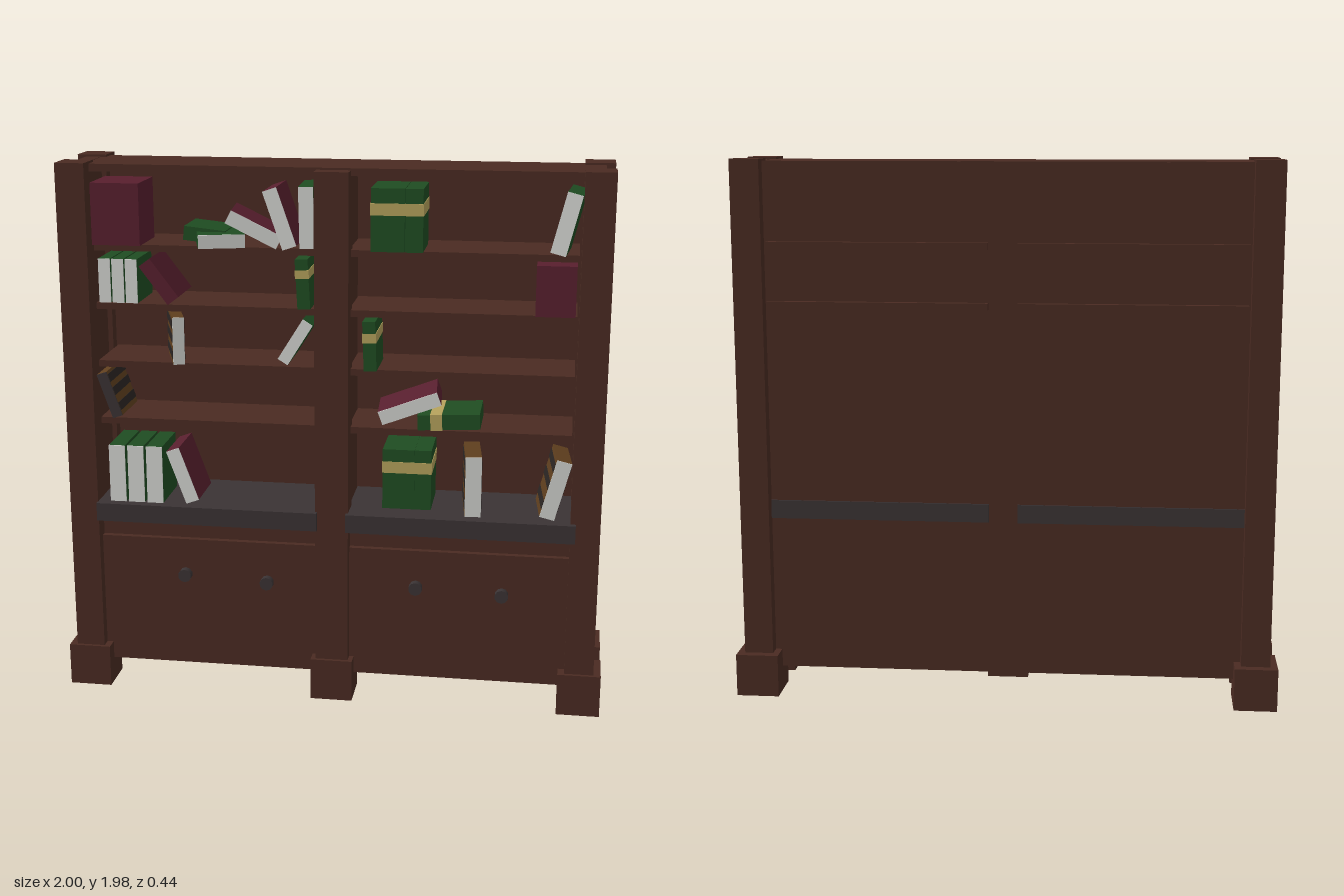
import * as THREE from 'three';

const mat = (name, color) => {
  const m = new THREE.MeshStandardMaterial({ color });
  m.name = name;
  return m;
};
const wood = mat('dark wood', 0x4a2b22);
const slate = mat('slate', 0x3a3334);
const paper = mat('paper', 0xd6d7d3);
const green = mat('green cover', 0x1f4d22);
const red = mat('red cover', 0x581f2e);
const brown = mat('brown cover', 0x5f3f1e);
const gold = mat('gold band', 0xb5a25c);
const black = mat('dark band', 0x2b2523);

// Box given by its minimum and maximum corners
function block(parent, name, material, [x0, y0, z0], [x1, y1, z1]) {
  const mesh = new THREE.Mesh(new THREE.BoxGeometry(x1 - x0, y1 - y0, z1 - z0), material);
  mesh.position.set((x0 + x1) / 2, (y0 + y1) / 2, (z0 + z1) / 2);
  mesh.name = name;
  parent.add(mesh);
  return mesh;
}

// Book placed by the centre of its front face; tilt and yaw in degrees
function book(parent, cover, x, y, w, h, o = {}) {
  const { tilt = 0, yaw = 0, z = 0.175, d = 0.2, front = null, bands = [], bandMat = gold, bandH = 0.042 } = o;
  const g = new THREE.Group();
  g.name = 'book';
  block(g, 'cover', cover, [-w / 2, -h / 2, -d], [w / 2, h / 2, 0]);
  if (front) block(g, 'frontEdge', front, [-w / 2, -h / 2, 0], [w / 2, h / 2, 0.004]);
  for (const b of bands) {
    const e = 0.002;
    block(g, 'band', bandMat, [-w / 2 - e, b * h - bandH / 2, -d - e], [w / 2 + e, b * h + bandH / 2, front ? -0.001 : e]);
  }
  g.rotation.set(0, THREE.MathUtils.degToRad(yaw), THREE.MathUtils.degToRad(tilt), 'YXZ');
  g.position.set(x, y, z);
  parent.add(g);
}

export function createModel() {
  const model = new THREE.Group();
  model.name = 'bookcase';

  // Corner posts and feet
  for (const s of [-1, 1]) {
    const span = (a, b) => (s < 0 ? [-b, -a] : [a, b]);
    const [p0, p1] = span(0.867, 0.973);
    const [f0, f1] = span(0.843, 1);
    block(model, 'frontPost', wood, [p0, 0.1, 0.085], [p1, 1.98, 0.2]);
    block(model, 'backPost', wood, [p0, 0.1, -0.19], [p1, 1.98, -0.075]);
    block(model, 'frontFoot', wood, [f0, 0, 0.062], [f1, 0.158, 0.213]);
    block(model, 'backFoot', wood, [f0, 0, -0.222], [f1, 0.158, -0.055]);
    const [w0, w1] = span(0.885, 0.94);
    block(model, 'sidePanel', wood, [w0, 0.092, -0.14], [w1, 1.973, 0.14]);
  }
  block(model, 'centrePost', wood, [-0.053, 0.1, 0.1], [0.068, 1.965, 0.2]);
  block(model, 'centreFoot', wood, [-0.07, 0, 0.062], [0.085, 0.158, 0.213]);

  // Carcass
  block(model, 'backPanel', wood, [-0.93, 0.092, -0.14], [0.93, 1.97, -0.12]);
  block(model, 'topPanel', wood, [-0.93, 1.945, -0.139], [0.93, 1.972, 0.139]);
  block(model, 'divider', wood, [-0.043, 0.6, -0.13], [0.058, 1.95, 0.12]);
  block(model, 'cabinet', wood, [-0.93, 0.092, -0.139], [0.93, 0.69, 0.138]);

  // Shelves, ledge, cabinet front and knobs for each bay
  const knobs = [[[-0.55, 0.453], [-0.24, 0.438]], [[0.315, 0.45], [0.63, 0.438]]];
  [[-0.868, -0.045], [0.06, 0.886]].forEach(([x0, x1], i) => {
    [[1.688, -0.165], [1.474, -0.165], [1.26, -0.13], [1.045, -0.13]].forEach(([y, back]) =>
      block(model, 'shelf', wood, [Math.max(x0, -0.86), y - 0.024, back], [Math.min(x1, 0.86), y, 0.137]));
    block(model, 'ledge', slate, [x0, 0.668, -0.147], [x1, 0.736, 0.22]);
    block(model, 'cabinetFront', wood, [x0, 0.093, 0.13], [x1, 0.59, 0.16]);
    for (const [kx, ky] of knobs[i]) {
      const knob = new THREE.Mesh(new THREE.CylinderGeometry(0.025, 0.025, 0.03, 10), slate);
      knob.rotation.x = Math.PI / 2;
      knob.position.set(kx, ky, 0.172);
      knob.name = 'knob';
      model.add(knob);
    }
  });

  const books = new THREE.Group();
  books.name = 'books';
  model.add(books);
  const pages = { front: paper };
  const stripes = { front: paper, bands: [-0.3, 0.05, 0.35], bandMat: black, bandH: 0.03 };

  // Top shelf
  book(books, red, -0.768, 1.8, 0.175, 0.22);
  book(books, green, -0.385, 1.713, 0.048, 0.165, { ...pages, tilt: 90, yaw: 16 });
  book(books, green, -0.46, 1.724, 0.05, 0.15, { tilt: 84, z: 0.12, d: 0.18 });
  book(books, red, -0.27, 1.757, 0.05, 0.2, { ...pages, tilt: 63, yaw: 6 });
  book(books, red, -0.178, 1.797, 0.052, 0.215, { ...pages, tilt: 19 });
  book(books, green, -0.083, 1.802, 0.052, 0.215, { ...pages, tilt: 1, yaw: 3 });
  book(books, green, 0.201, 1.8, 0.118, 0.22, { bands: [0.17] });
  book(books, green, 0.293, 1.8, 0.062, 0.22, { bands: [0.17] });
  book(books, green, 0.812, 1.8, 0.055, 0.215, { ...pages, tilt: -14, yaw: -5 });

  // Second shelf
  for (let i = 0; i < 3; i++) book(books, green, -0.814 + i * 0.049, 1.563, 0.043, 0.158, pages);
  book(books, red, -0.617, 1.563, 0.05, 0.17, { tilt: 37 });
  book(books, green, -0.098, 1.568, 0.046, 0.178, { tilt: 3, bands: [0.2], bandH: 0.03 });
  book(books, red, 0.785, 1.567, 0.138, 0.178);

  // Third shelf
  book(books, brown, -0.55, 1.35, 0.042, 0.172, { ...stripes, yaw: 19 });
  book(books, green, -0.125, 1.36, 0.042, 0.172, { ...pages, tilt: -32 });
  book(books, green, 0.14, 1.352, 0.046, 0.178, { tilt: 2, bands: [0.17], bandH: 0.034 });

  // Fourth shelf
  book(books, brown, -0.813, 1.14, 0.038, 0.17, { ...stripes, front: slate, tilt: 19 });
  book(books, red, 0.285, 1.132, 0.05, 0.222, { ...pages, tilt: -70, yaw: 4 });
  book(books, green, 0.425, 1.087, 0.055, 0.222, { tilt: 93, bands: [0.2] });

  // Books on the ledge
  for (let i = 0; i < 3; i++) book(books, green, -0.79 + i * 0.07, 0.847, 0.06, 0.215, { ...pages, z: 0.19 });
  book(books, red, -0.545, 0.848, 0.05, 0.208, { ...pages, tilt: 20, z: 0.19 });
  book(books, green, 0.249, 0.87, 0.115, 0.222, { bands: [0.2], z: 0.185 });
  book(books, green, 0.337, 0.87, 0.06, 0.222, { bands: [0.2], z: 0.185 });
  book(books, brown, 0.519, 0.858, 0.058, 0.222, { ...stripes, yaw: 6, z: 0.2 });
  book(books, brown, 0.81, 0.86, 0.055, 0.218, { ...stripes, tilt: -15, yaw: 5, z: 0.2 });

  return model;
}
